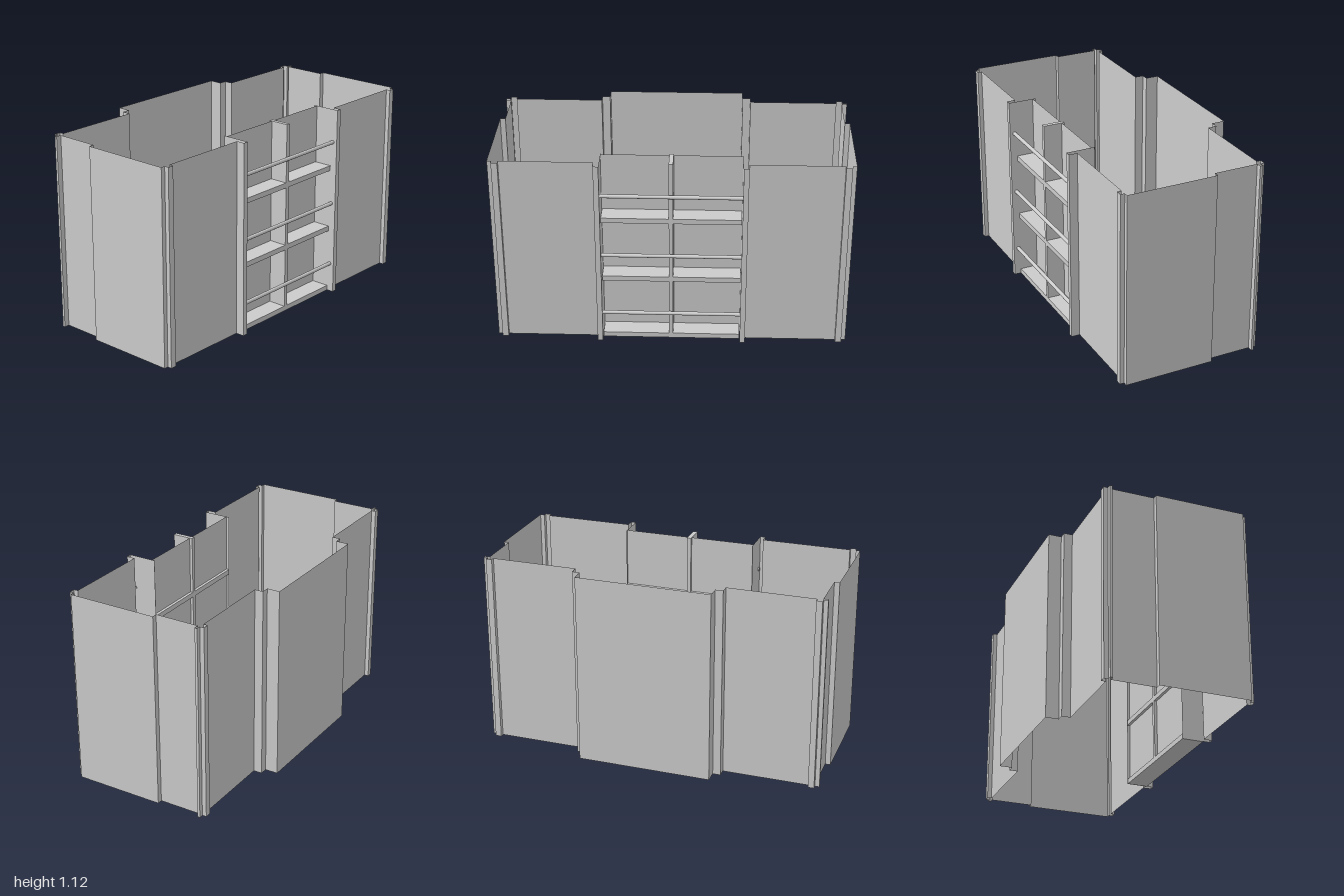
import * as THREE from 'three';
import { mergeGeometries } from 'three/addons/utils/BufferGeometryUtils.js';

const HEIGHT = 1.125;

export function createModel() {
  const model = new THREE.Group();
  const solid = new THREE.MeshStandardMaterial({ color: 0xcccccc });
  const sheet = new THREE.MeshStandardMaterial({ color: 0xcccccc, side: THREE.DoubleSide });

  const add = (name, geometry, material, x = 0, y = 0, z = 0) => {
    const mesh = new THREE.Mesh(geometry, material);
    mesh.name = name;
    mesh.position.set(x, y, z);
    model.add(mesh);
    return mesh;
  };

  // One upright thin sheet between two floor points
  const wallSheet = ([x0, z0], [x1, z1]) => {
    const geometry = new THREE.PlaneGeometry(Math.hypot(x1 - x0, z1 - z0), HEIGHT);
    geometry.rotateY(-Math.atan2(z1 - z0, x1 - x0));
    return geometry.translate((x0 + x1) / 2, HEIGHT / 2, (z0 + z1) / 2);
  };

  // Half floor plan [x, z]: alcove jamb, front wall, corner posts, end wall, back bay
  const half = [
    [0.392, 0.32], [0.392, 0.485], [0.422, 0.485], [0.422, 0.435],
    [0.94, 0.435], [0.94, 0.46], [0.975, 0.46], [0.975, 0.435], [1, 0.435],
    [1, -0.09], [0.97, -0.09], [0.97, -0.345], [1, -0.345], [1, -0.36],
    [0.975, -0.36], [0.975, -0.385], [0.94, -0.385], [0.94, -0.36],
    [0.437, -0.36], [0.437, -0.41], [0.392, -0.41], [0.392, -0.485],
  ];
  const mirrored = half.map(([x, z]) => [-x, z]).reverse();
  const plan = [...mirrored, ...half.slice().reverse()];
  // Walk the plan from the left jamb round the back to the right jamb
  const path = [...half, ...mirrored];
  const sheets = [];
  for (let i = 0; i < plan.length - 1; i++) sheets.push(wallSheet(path[i], path[i + 1]));
  add('outerWalls', mergeGeometries(sheets), sheet);

  // Alcove back panel, slightly ahead of the rear edges of the shelves
  add('alcoveBackPanel', wallSheet([-0.392, 0.337], [0.392, 0.337]), sheet);

  // Central divider
  add('shelfDivider', new THREE.BoxGeometry(0.024, HEIGHT, 0.125), solid, -0.002, HEIGHT / 2, 0.3825);

  // Three shelves, each with a round guard rail above it
  for (const y of [0.015, 0.395, 0.77]) {
    add('shelf', new THREE.BoxGeometry(0.78, 0.03, 0.125), solid, 0, y, 0.3825);
    const rail = new THREE.CylinderGeometry(0.011, 0.011, 0.795, 16).rotateZ(Math.PI / 2);
    add('guardRail', rail, solid, -0.002, y + 0.16, 0.457);
  }

  return model;
}
